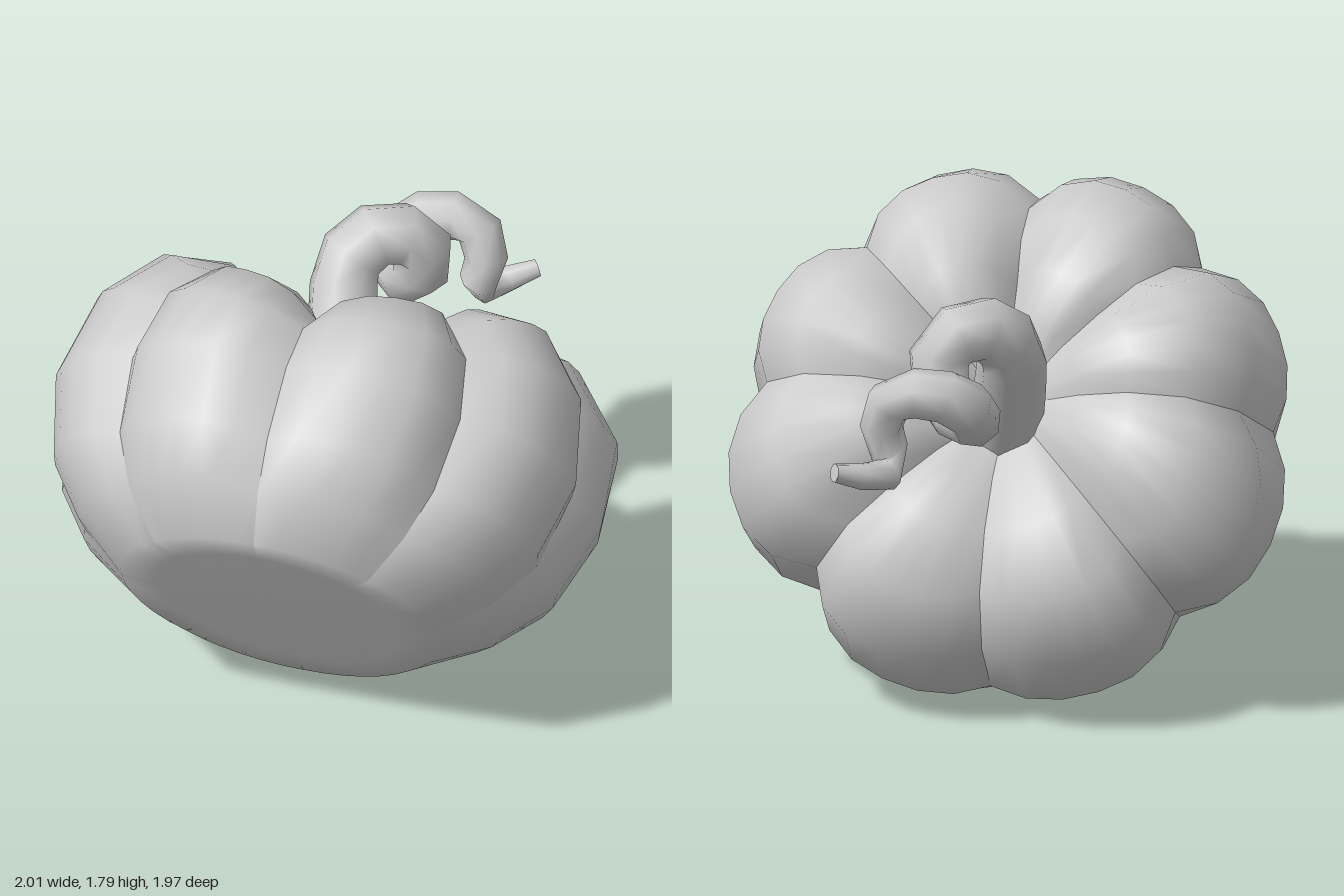
import * as THREE from 'three';

const ACROSS = 6; // facets across one lobe

// Grooves going around: angle in degrees, relative depth
const GROOVES = [
  [0, 1.2], [46, 1], [90, 0.65], [137, 1], [180, 0.55], [223, 1], [270, 0.65], [314, 1], [360, 1.2],
];

// Crest profile from base to dip:
// radius, height, groove depth (fraction), groove drop, forward shift, swelling of the rear side lobes
const PROFILE = [
  [0, -0.255, 0, 0, 0.03, 0],
  [0.46, -0.255, 0, 0, 0.03, 0],
  [0.59, -0.25, 0.01, 0, 0.03, 0],
  [0.8, -0.1, 0.06, 0, 0.025, 0],
  [0.945, 0.08, 0.09, 0, 0.01, 0],
  [1.02, 0.36, 0.12, 0, 0, 0.02],
  [0.95, 0.6, 0.14, 0.02, 0, 0.11],
  [0.77, 0.77, 0.14, 0.07, 0, 0.09],
  [0.52, 0.82, 0.09, 0.12, 0, 0.02],
  [0.3, 0.75, 0.03, 0.06, 0, 0],
  [0.13, 0.64, 0, 0.01, 0, 0],
  [0, 0.59, 0, 0, 0, 0],
];

const material = () => new THREE.MeshStandardMaterial({ color: 0xcccccc });

// One swollen wedge between two grooves, from the flat base over the shoulder into the dip
function lobeGeometry([startAngle, startDepth], [endAngle, endDepth]) {
  const pos = [];
  const index = [];
  PROFILE.forEach(([r, h, depth, drop, shift, swell], i) => {
    for (let j = 0; j <= ACROSS; j++) {
      const t = (j / ACROSS) * 2 - 1;
      const phi = THREE.MathUtils.degToRad(THREE.MathUtils.lerp(startAngle, endAngle, j / ACROSS));
      const side = Math.sin(phi) ** 2;
      const front = Math.cos(phi);
      const groove = Math.abs(t) ** 2.6 * (t < 0 ? startDepth : endDepth);
      const radius = r * (1 - depth * groove) * (1 - 0.06 * front)
        * (1 + 2 * swell * side * Math.max(0, -front));
      // side and back lobes stand taller than the front ones
      const lift = (0.168 * side - 0.045 * front)
        * THREE.MathUtils.smoothstep(h, 0.25, 0.8) * Math.min(1, r / 0.5);
      pos.push(
        radius * Math.sin(phi),
        h + lift - drop * groove,
        radius * front * 0.985 + shift,
      );
      if (i === 0 || j === 0) continue;
      const c = i * (ACROSS + 1) + j;
      const b = c - ACROSS - 1;
      if (i > 1) index.push(b - 1, b, c);
      if (i < PROFILE.length - 1) index.push(b - 1, c, c - 1);
    }
  });
  const g = new THREE.BufferGeometry();
  g.setAttribute('position', new THREE.Float32BufferAttribute(pos, 3));
  g.setIndex(index);
  g.computeVertexNormals();
  return g;
}

// Tube along a curve with a radius that varies along its length
function taperedTube(curve, segments, sides, radiusAt) {
  const g = new THREE.TubeGeometry(curve, segments, 1, sides, false);
  const p = g.attributes.position;
  const v = new THREE.Vector3();
  for (let i = 0; i <= segments; i++) {
    const centre = curve.getPointAt(i / segments);
    const r = radiusAt(i / segments);
    for (let j = 0; j <= sides; j++) {
      const n = i * (sides + 1) + j;
      v.fromBufferAttribute(p, n).sub(centre).multiplyScalar(r).add(centre);
      p.setXYZ(n, v.x, v.y, v.z);
    }
  }
  return g;
}

export function createModel() {
  const model = new THREE.Group();
  model.name = 'pumpkin';

  // Ribbed body, tipped back so its flat base faces forward and down
  const body = new THREE.Group();
  body.name = 'body';
  for (let k = 0; k < GROOVES.length - 1; k++) {
    const lobe = new THREE.Mesh(lobeGeometry(GROOVES[k], GROOVES[k + 1]), material());
    lobe.name = `lobe${k + 1}`;
    body.add(lobe);
  }
  body.rotation.x = -THREE.MathUtils.degToRad(58.6);
  body.position.set(0, 0.75, 0.472);
  model.add(body);

  // Rest the lowest lobes on the ground
  body.updateMatrixWorld(true);
  body.position.y -= new THREE.Box3().setFromObject(body, true).min.y;

  // Curling stem, stout for most of its length and thin at the tip
  const path = new THREE.CatmullRomCurve3([
    [0, 1.0, -0.1], [-0.06, 1.28, -0.28], [-0.07, 1.43, -0.38], [0.02, 1.51, -0.46],
    [0.14, 1.46, -0.53], [0.15, 1.33, -0.56], [0.08, 1.24, -0.6], [0.0, 1.24, -0.68],
    [0.01, 1.31, -0.76], [0.12, 1.37, -0.81], [0.27, 1.35, -0.82], [0.32, 1.22, -0.79],
    [0.28, 1.09, -0.78], [0.3, 1.06, -0.85], [0.46, 1.1, -0.96],
  ].map((p) => new THREE.Vector3(...p)));
  const radiusAt = (u) => 0.138 - 0.06 * u - 0.043 * u ** 6;
  const stem = new THREE.Group();
  stem.name = 'stem';
  const vine = new THREE.Mesh(taperedTube(path, 20, 8, radiusAt), material());
  vine.name = 'vine';
  const tip = new THREE.Mesh(new THREE.CircleGeometry(radiusAt(1), 8), material());
  tip.name = 'stemTip';
  tip.position.copy(path.getPointAt(1));
  tip.lookAt(tip.position.clone().add(path.getTangentAt(1)));
  stem.add(vine, tip);
  model.add(stem);
  return model;
}
